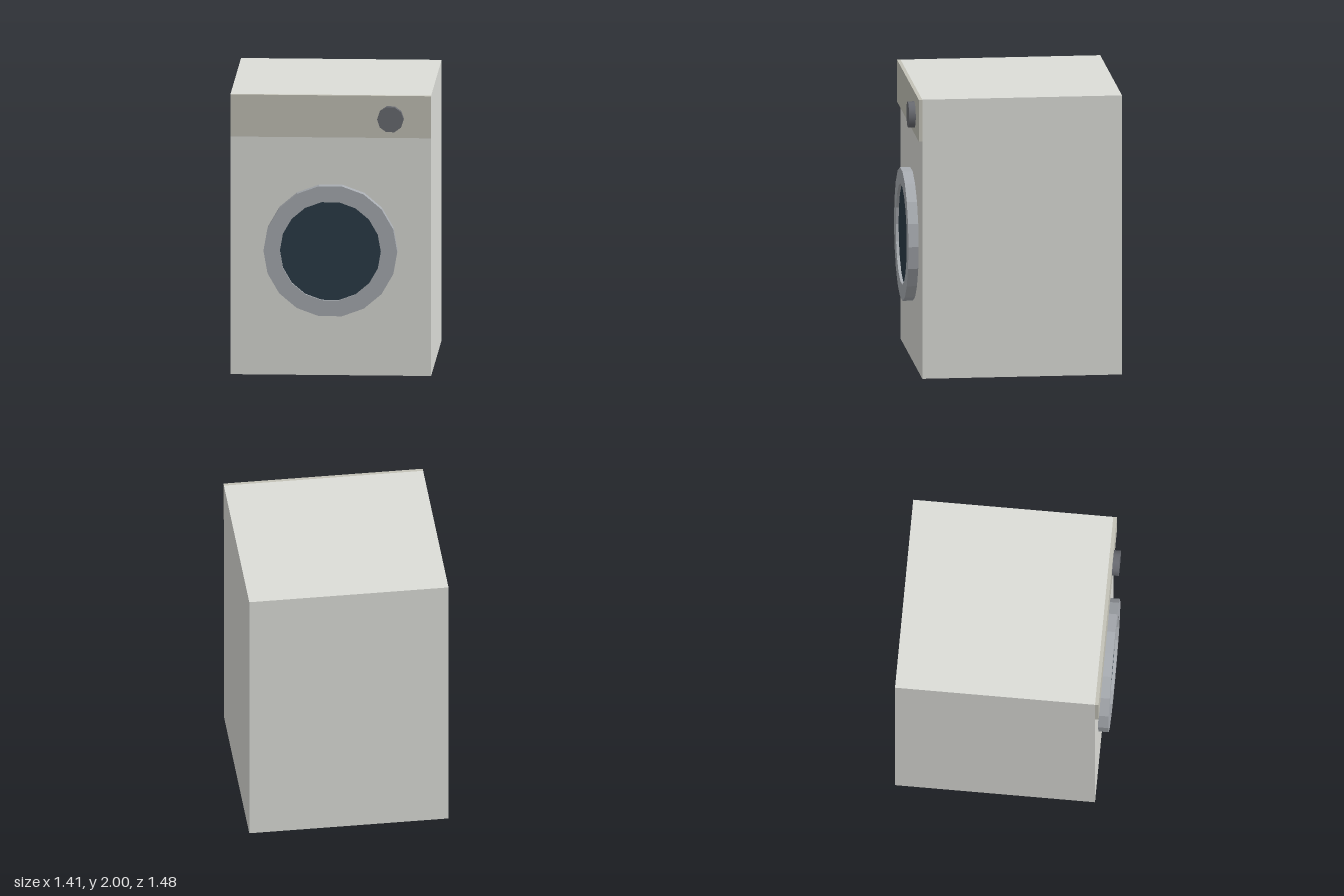
import * as THREE from 'three';

const paint = (color, flatShading = true) => new THREE.MeshStandardMaterial({ color, flatShading });

// Regular polygon with a corner on the x axis
function polygon(PathType, radius, sides) {
  const points = [];
  for (let i = 0; i < sides; i++) {
    const a = (i / sides) * Math.PI * 2;
    points.push(new THREE.Vector2(Math.cos(a) * radius, Math.sin(a) * radius));
  }
  return new PathType(points);
}

// Disc facing +z, spanning back to front along z
function disc(radius, sides, back, front) {
  return new THREE.CylinderGeometry(radius, radius, front - back, sides, 1, false, Math.PI / 2)
    .rotateX(Math.PI / 2)
    .translate(0, 0, (back + front) / 2);
}

export function createModel() {
  const model = new THREE.Group();
  model.name = 'washingMachine';

  const add = (name, geometry, material, x = 0, y = 0, z = 0) => {
    const mesh = new THREE.Mesh(geometry, material);
    mesh.name = name;
    mesh.position.set(x, y, z);
    model.add(mesh);
  };

  const width = 1.41, back = -0.74, face = 0.67, panelFace = 0.695, front = 0.742;

  // Cabinet and the slightly raised control panel
  add('cabinet', new THREE.BoxGeometry(width, 2, face - back), paint(0xdcddd8), 0, 1, (face + back) / 2);
  add('controlPanel', new THREE.BoxGeometry(width, 0.3, panelFace - face), paint(0xc4c3b8), 0, 1.85, (face + panelFace) / 2);

  // Door ring with an open middle
  const ring = polygon(THREE.Shape, 0.47, 18);
  ring.holes.push(polygon(THREE.Path, 0.355, 18));
  add('doorRing', new THREE.ExtrudeGeometry(ring, { depth: front - face, bevelEnabled: false }),
    paint(0xa9adb2), 0, 0.896, face);

  // Dark glass, set just behind the ring's front
  add('doorGlass', disc(0.355, 18, face, front - 0.02), paint(0x2b3c48), 0, 0.896);

  // Programme knob
  add('knob', disc(0.093, 10, panelFace, front), paint(0x6a6c72, false), 0.422, 1.838);

  return model;
}
